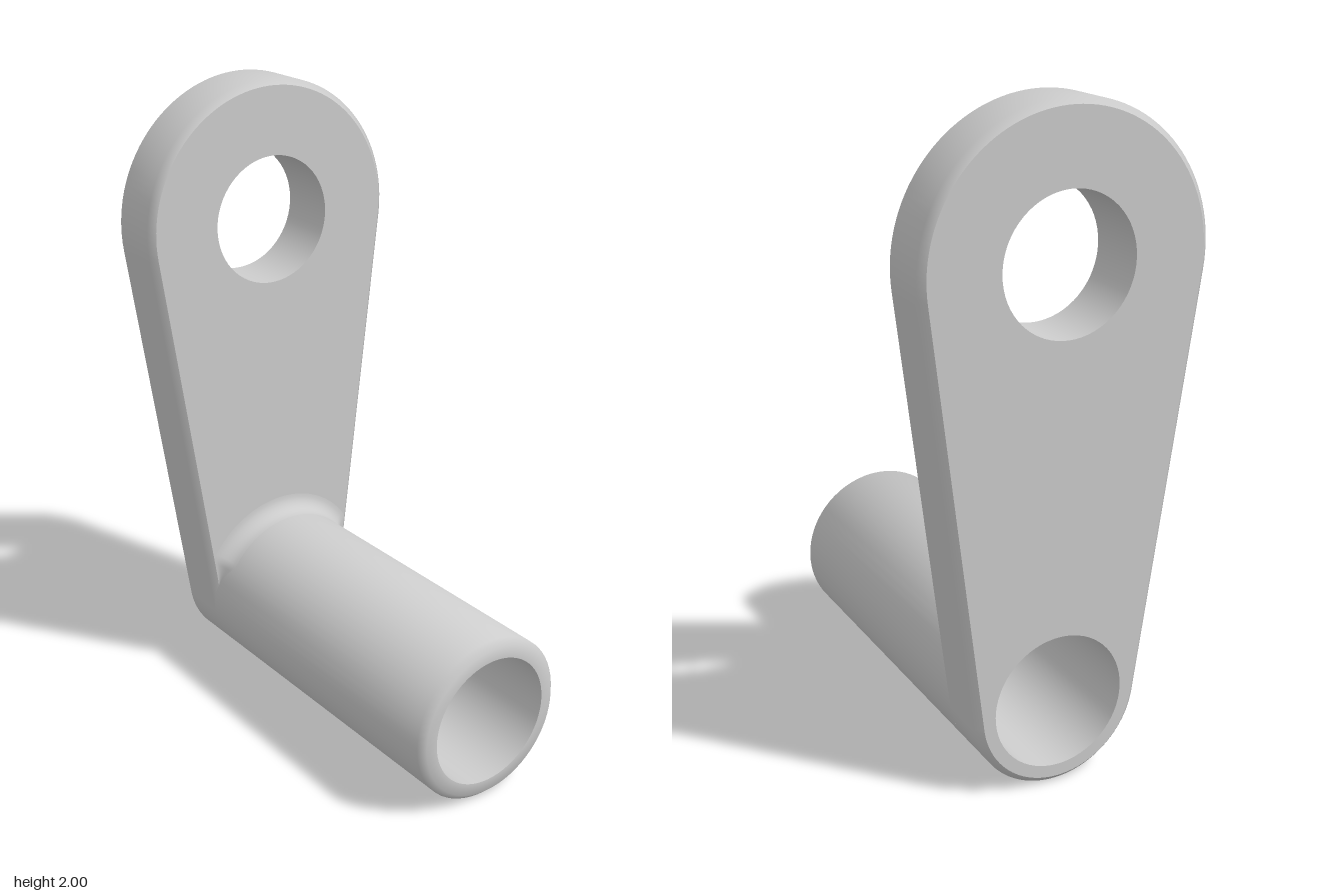
import * as THREE from 'three';
import { toCreasedNormals } from 'three/addons/utils/BufferGeometryUtils.js';

// Local frame: outline in the xy plane, depth along z; the group is turned so depth runs along x.
const low = new THREE.Vector2(0.007, 0.265), high = new THREE.Vector2(0, 1.558);
const R_LOW = 0.265, R_HIGH = 0.442, BORE = 0.207, EYE = 0.205;
const BACK = -0.645, FACE = -0.447, END = 0.645, CHAMFER = 0.02, FILLET = 0.055;

// Tangent directions shared by the two end arcs of the teardrop
const axis = Math.atan2(high.y - low.y, high.x - low.x);
const spread = Math.acos((R_LOW - R_HIGH) / low.distanceTo(high));

function arc(center, radius, from, to, steps) {
  return Array.from({ length: steps + 1 }, (_, i) => {
    const a = from + (to - from) * i / steps;
    return new THREE.Vector2(center.x + radius * Math.cos(a), center.y + radius * Math.sin(a));
  });
}

function teardrop(inset) {
  return [
    ...arc(high, R_HIGH - inset, axis - spread, axis + spread, 64),
    ...arc(low, R_LOW - inset, axis + spread, axis - spread + Math.PI * 2, 48),
  ];
}

// Skin over a list of rings, each an array of Vector3
function loft(rings, closed) {
  const n = rings[0].length, index = [];
  for (let j = 0; j < rings.length - 1; j++) {
    for (let i = 0; i < (closed ? n : n - 1); i++) {
      const k = (i + 1) % n, a = j * n + i, b = j * n + k;
      index.push(a, b, b + n, a, b + n, a + n);
    }
  }
  const geo = new THREE.BufferGeometry().setFromPoints(rings.flat());
  geo.setIndex(index);
  geo.computeVertexNormals();
  return geo;
}

export function createModel() {
  const group = new THREE.Group();
  group.name = 'crankArm';
  const material = new THREE.MeshStandardMaterial({ color: 0xcccccc });
  const add = (name, geometry) => {
    const mesh = new THREE.Mesh(geometry, material);
    mesh.name = name;
    group.add(mesh);
    return mesh;
  };

  // Chamfered rim of the plate
  const profile = [[CHAMFER, BACK], [0, BACK + CHAMFER], [0, FACE - CHAMFER], [CHAMFER, FACE]];
  add('plateRim', loft(profile.map(([inset, z]) =>
    teardrop(inset).map(p => new THREE.Vector3(p.x, p.y, z))), true));

  // Flat plate faces with the eye and the bore cut out
  const face = new THREE.Shape(teardrop(CHAMFER));
  for (const [c, r] of [[high, EYE], [low, BORE]]) {
    face.holes.push(new THREE.Path(arc(c, r, Math.PI * 2, 0, 64).slice(0, -1)));
  }
  add('plateFrontFace', new THREE.ShapeGeometry(face)).position.z = FACE;
  const back = new THREE.ShapeGeometry(face);
  back.scale(-1, 1, 1);
  back.rotateY(Math.PI);
  // Mirroring and turning restores the outline but reverses depth, so flip the winding
  const order = back.index.array;
  for (let i = 0; i < order.length; i += 3) {
    [order[i], order[i + 1]] = [order[i + 1], order[i]];
  }
  back.computeVertexNormals();
  add('plateBackFace', back).position.z = BACK;

  // Wall of the eye, facing inward
  const eye = new THREE.LatheGeometry(
    [new THREE.Vector2(EYE, FACE), new THREE.Vector2(EYE, BACK)], 64);
  eye.rotateX(Math.PI / 2);
  add('eyeWall', eye).position.set(high.x, high.y, 0);

  // Hollow tube: outside, chamfered lip, then the bore through the plate
  const tube = new THREE.LatheGeometry([
    [R_LOW, FACE - CHAMFER], [R_LOW, END - CHAMFER], [R_LOW - CHAMFER, END],
    [BORE, END], [BORE, BACK],
  ].map(([r, y]) => new THREE.Vector2(r, y)), 64);
  tube.rotateX(Math.PI / 2);
  add('tube', toCreasedNormals(tube, Math.PI / 3.5)).position.set(low.x, low.y, 0);

  // Fillet between tube and plate, shrinking where the plate edge meets the tube
  const rings = [];
  for (let j = 0; j <= 8; j++) {
    const t = j / 8 * Math.PI / 2, ring = [];
    for (let i = 0; i <= 64; i++) {
      const u = (i / 32 - 1) * spread;
      const reach = (R_LOW - CHAMFER) / Math.max(0.01, Math.cos(spread - Math.abs(u)));
      const f = THREE.MathUtils.clamp(reach - R_LOW, 0, FILLET);
      const r = R_LOW + f * (1 - Math.sin(t));
      ring.push(new THREE.Vector3(
        low.x + r * Math.cos(axis + u), low.y + r * Math.sin(axis + u),
        FACE + f * (1 - Math.cos(t))));
    }
    rings.push(ring);
  }
  add('tubeFillet', loft(rings, false));

  group.rotation.y = Math.PI / 2;
  const model = new THREE.Group();
  model.name = 'crank';
  model.add(group);
  return model;
}
